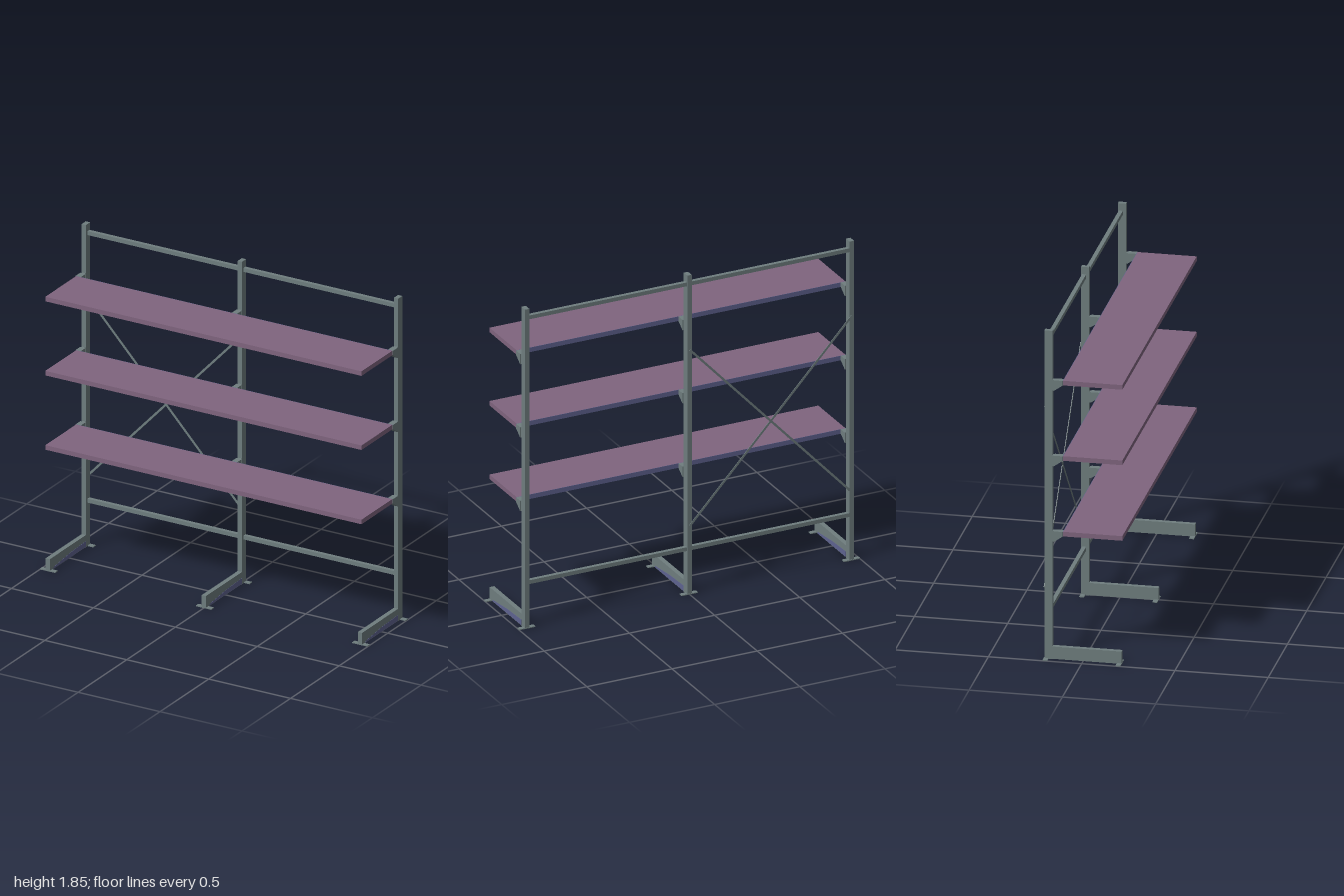
import * as THREE from 'three';

export function createModel() {
  const model = new THREE.Group();
  const steel = new THREE.MeshStandardMaterial({ color: 0x6f7e7f });
  steel.name = 'grey steel';
  const board = new THREE.MeshStandardMaterial({ color: 0x80657f });
  board.name = 'mauve board';
  const blue = new THREE.MeshStandardMaterial({ color: 0x5f6390 });
  blue.name = 'blue edging';

  const add = (name, geometry, material, parent = model) => {
    const mesh = new THREE.Mesh(geometry, material);
    mesh.name = name;
    parent.add(mesh);
    return mesh;
  };
  // Box given by its minimum and maximum corners
  const box = (name, material, [x0, y0, z0], [x1, y1, z1], parent) => {
    const mesh = add(name, new THREE.BoxGeometry(x1 - x0, y1 - y0, z1 - z0), material, parent);
    mesh.position.set((x0 + x1) / 2, (y0 + y1) / 2, (z0 + z1) / 2);
    return mesh;
  };
  // Side profile of [z, y] points, extruded to a width along x
  const sidePlate = (name, material, points, width, parent) => {
    const shape = new THREE.Shape(points.map(([z, y]) => new THREE.Vector2(-z, y)));
    const geometry = new THREE.ExtrudeGeometry(shape, { depth: width, bevelEnabled: false });
    geometry.translate(0, 0, -width / 2).rotateY(Math.PI / 2);
    return add(name, geometry, material, parent);
  };

  const postX = [-0.953, 0, 0.953];
  const shelfY = [0.694, 1.119, 1.543];
  const shelfH = 0.026;

  for (const x of postX) {
    const frame = new THREE.Group();
    frame.name = 'uprightFrame';
    frame.position.x = x;
    model.add(frame);

    // Upright and forward foot
    box('post', steel, [-0.013, 0, -0.207], [0.013, 1.845, -0.164], frame);
    box('foot', steel, [-0.013, 0.002, -0.164], [0.013, 0.071, 0.207], frame);
    sidePlate('footInlay', blue,
      [[0.17, 0.004], [0.17, 0.012], [0, 0.03], [-0.163, 0.036], [-0.163, 0.004]],
      0.002, frame).position.x = 0.0132;

    // Floor plates at both ends of the foot
    box('floorPlate', steel, [-0.047, 0, 0.182], [0.047, 0.005, 0.208], frame);
    box('floorPlate', steel, [-0.047, 0, -0.21], [0.047, 0.005, -0.184], frame);

    // Tapered shelf brackets
    for (const y of shelfY) {
      sidePlate('shelfBracket', steel,
        [[-0.108, y + shelfH], [-0.108, y], [-0.156, y - 0.034], [-0.156, y + shelfH]],
        0.032, frame);
      box('bracketTab', steel, [-0.01, y - 0.034, -0.165], [0.01, y + shelfH, -0.156], frame);
    }
  }

  // Shelves with a thin rear edging
  for (const y of shelfY) {
    box('shelf', board, [-0.965, y, -0.106], [0.965, y + shelfH, 0.211]);
    box('shelfRearEdge', blue, [-0.965, y, -0.108], [0.965, y + shelfH, -0.106]);
  }

  // Horizontal rails between the posts
  for (const y of [0.262, 1.793]) {
    for (const [a, b] of [[-0.94, -0.013], [0.013, 0.94]]) {
      box('rail', steel, [a, y - 0.011, -0.202], [b, y + 0.011, -0.18]);
    }
  }

  // Crossed flat braces behind one bay
  const dx = 0.953, dy = 1.02;
  for (const side of [-1, 1]) {
    const brace = add('crossBrace',
      new THREE.BoxGeometry(Math.hypot(dx, dy), 0.012, 0.003), steel);
    brace.position.set(-0.4765, 0.905, -0.2095 - 0.0015 * side);
    brace.rotation.z = side * Math.atan2(dy, dx);
  }

  return model;
}
